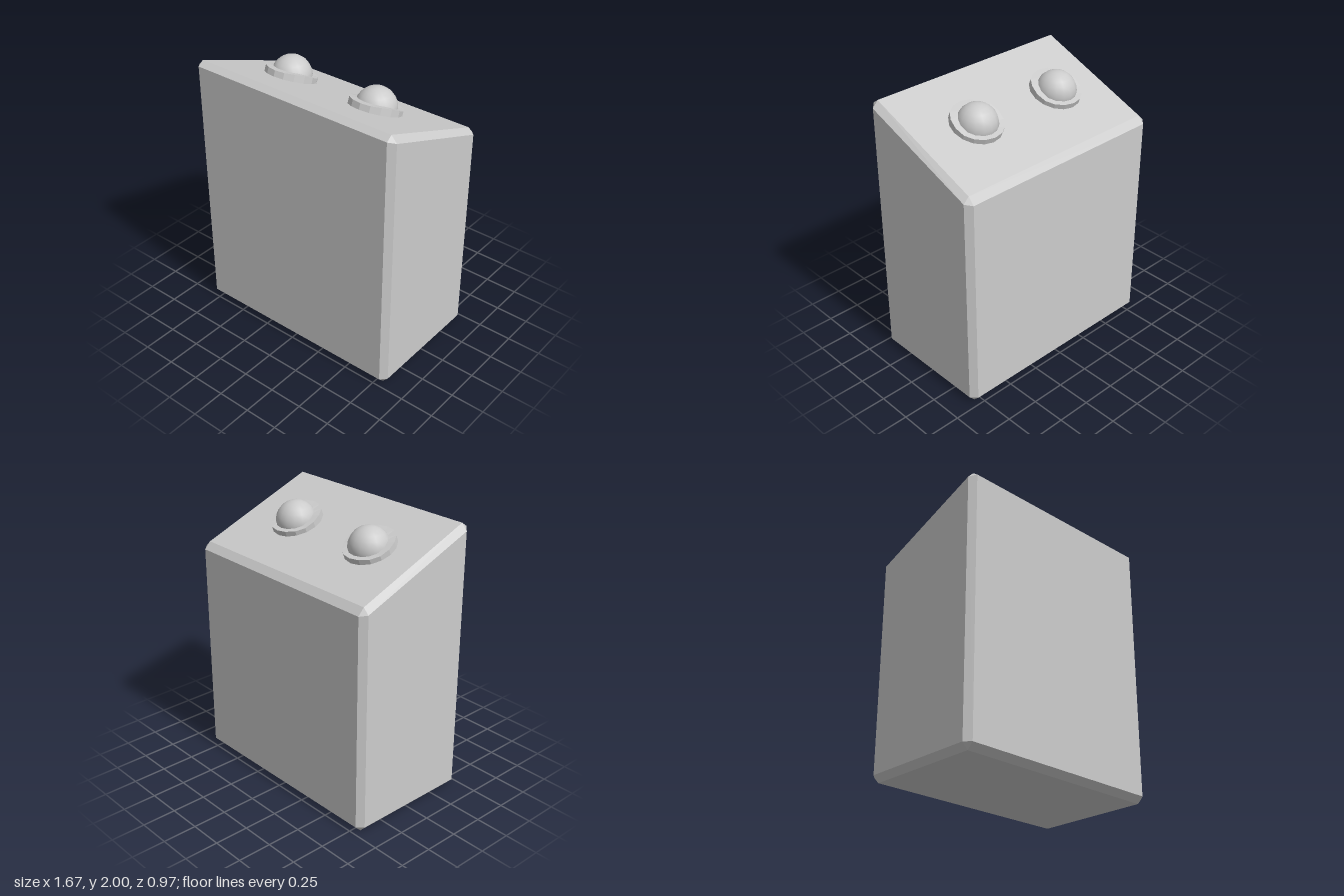
import * as THREE from 'three';
import { ConvexGeometry } from 'three/addons/geometries/ConvexGeometry.js';

const SLOPE = Math.atan2(0.34, 0.88); // tilt of the top face

// Box with bevelled edges and a top that falls towards the back
function bodyGeometry() {
  const points = [];
  // Heights of each corner: on the cap face, on the front/back face, on the side face
  const corners = [
    { z: 1, cap: 0, end: 0.045, side: 0.045 },
    { z: -1, cap: 0, end: 0.045, side: 0.045 },
    { z: 1, cap: 2, end: 1.967, side: 1.952 },
    { z: -1, cap: 1.66, end: 1.61, side: 1.618 },
  ];
  for (const sx of [-1, 1]) {
    for (const { z, cap, end, side } of corners) {
      points.push(
        new THREE.Vector3(sx * 0.793, cap, z * 0.44),
        new THREE.Vector3(sx * 0.793, end, z * 0.485),
        new THREE.Vector3(sx * 0.835, side, z * 0.44)
      );
    }
  }
  return new ConvexGeometry(points);
}

// Collar around a button, its upper face slightly wavy along the slope
function collarGeometry() {
  const profile = [[0.187, -0.02], [0.187, 0.043], [0.11, 0.043]];
  const geometry = new THREE.LatheGeometry(profile.map(([r, y]) => new THREE.Vector2(r, y)), 16);
  const pos = geometry.attributes.position;
  for (let i = 0; i < pos.count; i++) {
    if (pos.getY(i) > 0) {
      pos.setY(i, pos.getY(i) + 0.009 * Math.sin((Math.PI * pos.getZ(i)) / 0.187));
    }
  }
  return geometry;
}

export function createModel() {
  const model = new THREE.Group();
  const flat = new THREE.MeshStandardMaterial({ color: 0xcccccc, flatShading: true });
  const smooth = new THREE.MeshStandardMaterial({ color: 0xcccccc });

  const body = new THREE.Mesh(bodyGeometry(), flat);
  body.name = 'body';
  model.add(body);

  // Two domed buttons on the sloping top
  const collarShape = collarGeometry();
  const domeShape = new THREE.SphereGeometry(0.145, 16, 12);
  for (const [name, x] of [['rightButton', -0.395], ['leftButton', 0.338]]) {
    const button = new THREE.Group();
    button.name = name;
    button.position.set(x, 1.83, 0);

    const collar = new THREE.Mesh(collarShape, flat);
    collar.name = 'collar';
    collar.rotation.x = -SLOPE;

    const dome = new THREE.Mesh(domeShape, smooth);
    dome.name = 'dome';
    dome.position.set(0, 0.01, -0.012);

    button.add(collar, dome);
    model.add(button);
  }
  return model;
}
